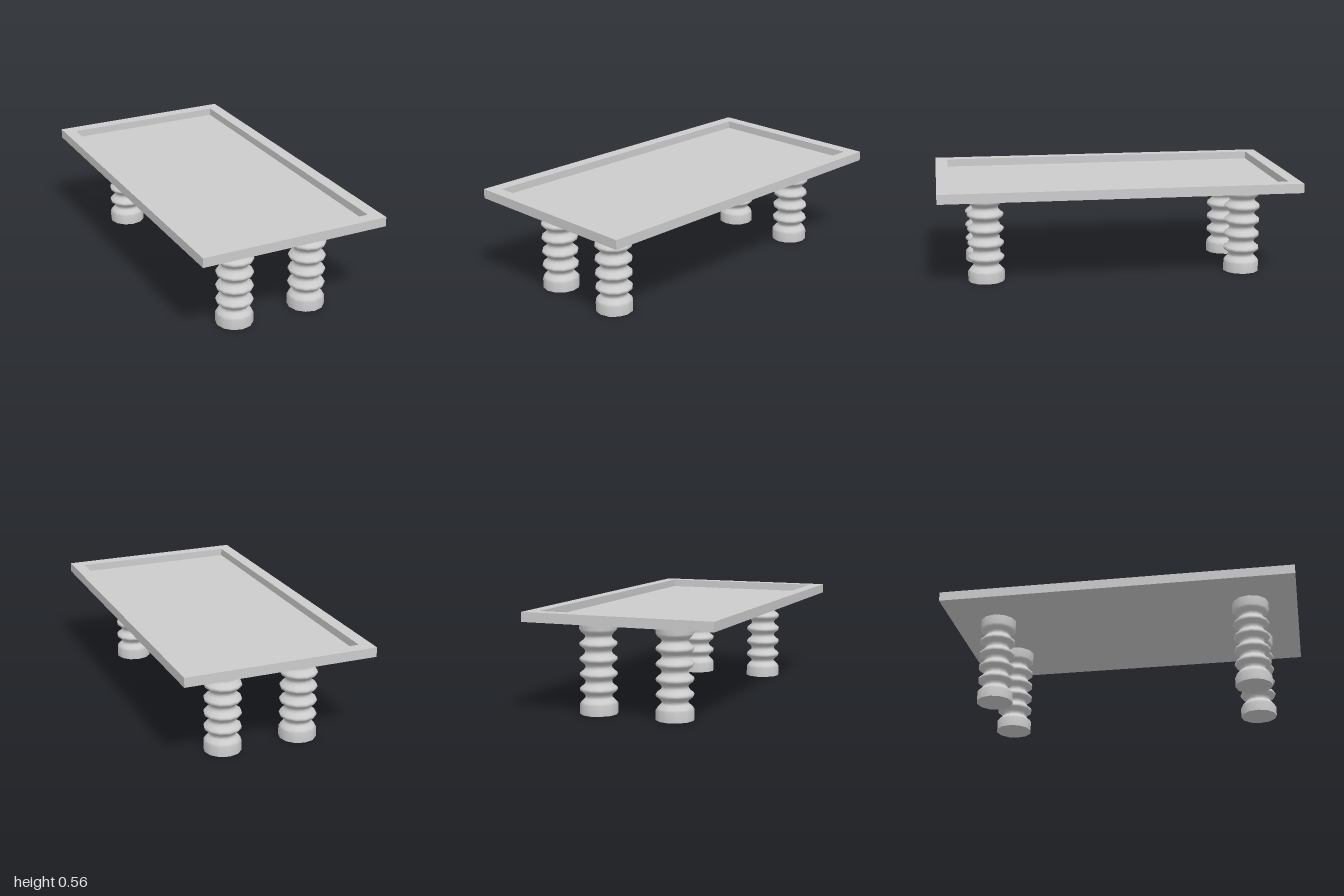
import * as THREE from 'three';
import { mergeGeometries } from 'three/addons/utils/BufferGeometryUtils.js';

const material = new THREE.MeshStandardMaterial({ color: 0xcccccc });
const WIDTH = 1.074, LENGTH = 2, RIM = 0.07;
const UNDERSIDE = 0.512, TOP = 0.565, FLOOR = 0.01;
const SIDES = 12, OUTER = 0.103, NECK = 0.072;

function addMesh(parent, geometry, name) {
  const mesh = new THREE.Mesh(geometry, material);
  mesh.name = name;
  parent.add(mesh);
  return mesh;
}

function rectangle(PathType, w, l) {
  return new PathType([[-1, -1], [1, -1], [1, 1], [-1, 1]]
    .map(([x, y]) => new THREE.Vector2(x * w / 2, y * l / 2)));
}

// Ribbed leg: plain collars at both ends, four rounded ribs between five necks
function legGeometry() {
  const points = [[OUTER, 0], [OUTER, 0.055], [0.095, 0.067], [0.079, 0.083]];
  const firstNeck = 0.094, pitch = 0.0815;
  for (let i = 0; i < 5; i++) {
    const y = firstNeck + i * pitch;
    points.push([NECK, y - 0.005], [NECK, y + 0.005]);
    if (i < 4) {
      const peak = y + pitch / 2;
      points.push([0.079, peak - 0.025], [0.1, peak - 0.009], [OUTER, peak],
        [0.1, peak + 0.009], [0.079, peak + 0.025]);
    }
  }
  points.push([0.079, 0.432], [0.095, 0.448], [OUTER, 0.461], [OUTER, UNDERSIDE]);
  const body = new THREE.LatheGeometry(points.map(([r, y]) => new THREE.Vector2(r, y)), SIDES);
  const foot = new THREE.CircleGeometry(OUTER, SIDES).rotateX(Math.PI / 2);
  return mergeGeometries([body, foot]);
}

export function createModel() {
  const model = new THREE.Group();
  model.name = 'trayTable';

  // Raised rim around the tabletop
  const rimShape = rectangle(THREE.Shape, WIDTH, LENGTH);
  rimShape.holes.push(rectangle(THREE.Path, WIDTH - 2 * RIM, LENGTH - 2 * RIM));
  const rim = new THREE.ExtrudeGeometry(rimShape, { depth: TOP - UNDERSIDE, bevelEnabled: false });
  rim.rotateX(-Math.PI / 2);
  addMesh(model, rim, 'tabletopRim').position.y = UNDERSIDE;

  // Thin recessed floor
  const floor = new THREE.BoxGeometry(WIDTH - 2 * RIM, FLOOR, LENGTH - 2 * RIM);
  addMesh(model, floor, 'tabletopFloor').position.y = UNDERSIDE + FLOOR / 2;

  // Four legs
  const leg = legGeometry();
  for (const [z, end] of [[0.735, 'front'], [-0.735, 'back']]) {
    for (const [x, side] of [[0.221, 'Left'], [-0.221, 'Right']]) {
      addMesh(model, leg, `${end}${side}Leg`).position.set(x, 0, z);
    }
  }
  return model;
}
